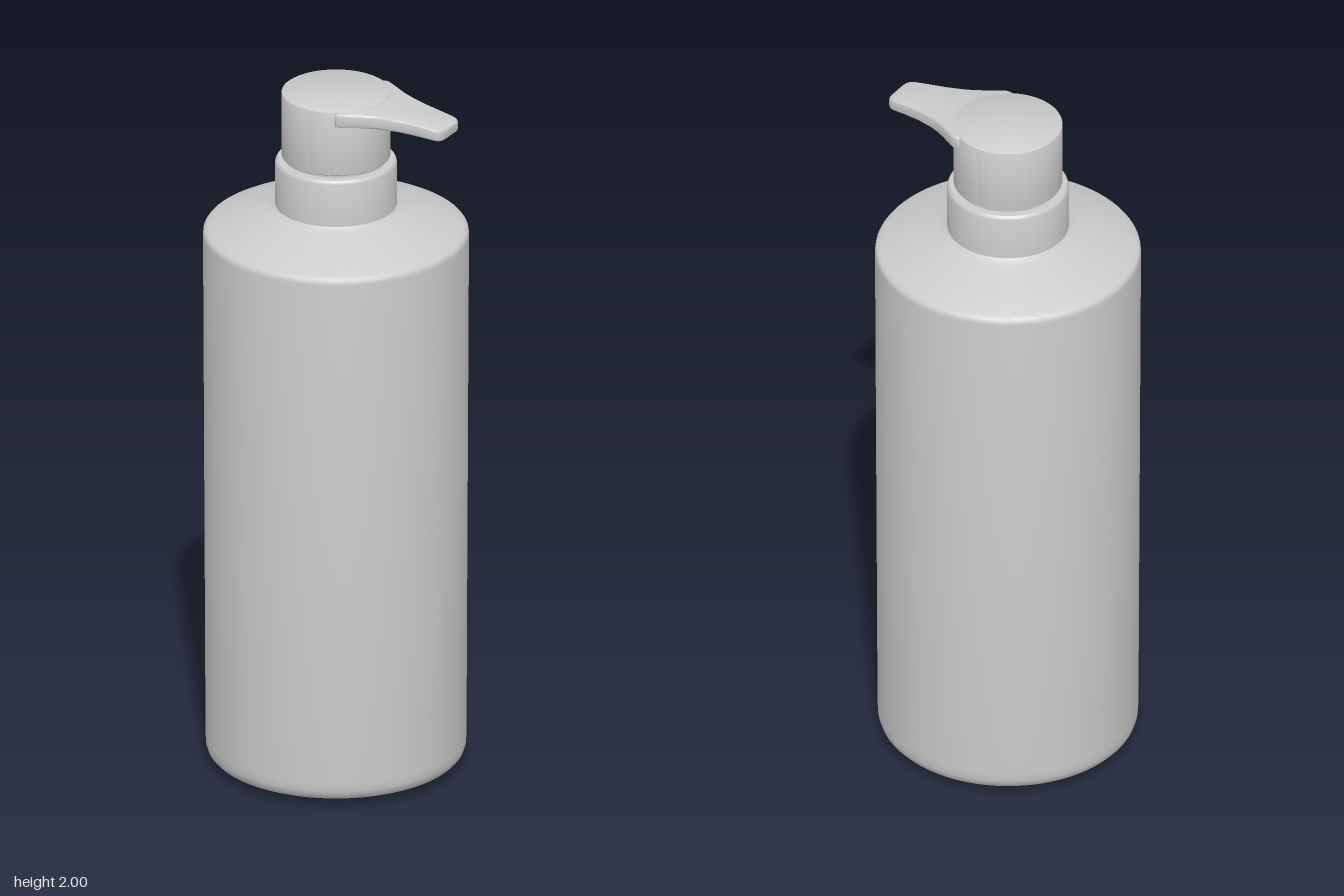
import * as THREE from 'three';
import { toCreasedNormals } from 'three/addons/utils/BufferGeometryUtils.js';

const material = new THREE.MeshStandardMaterial({ color: 0xcccccc });

function addMesh(group, name, geometry, crease = 0.6) {
  const mesh = new THREE.Mesh(toCreasedNormals(geometry, crease), material);
  mesh.name = name;
  group.add(mesh);
}

// Turned part from [radius, y] pairs, listed from the bottom up
function turned(profile) {
  return new THREE.LatheGeometry(profile.map(([r, y]) => new THREE.Vector2(r, y)), 96);
}

// Flat spout that narrows and droops towards its tip, lofted along x
function spoutGeometry() {
  // x, half width, top y, bottom y
  const stations = [
    [0.0, 0.125, 1.999, 1.957], [0.07, 0.130, 1.999, 1.957], [0.077, 0.136, 1.999, 1.957],
    [0.09, 0.136, 1.999, 1.957], [0.11, 0.126, 1.998, 1.957], [0.14, 0.109, 1.997, 1.957],
    [0.17, 0.094, 1.995, 1.956], [0.20, 0.083, 1.993, 1.955], [0.25, 0.070, 1.989, 1.952],
    [0.30, 0.062, 1.984, 1.948], [0.34, 0.057, 1.979, 1.944], [0.353, 0.053, 1.977, 1.943],
    [0.361, 0.045, 1.975, 1.944], [0.365, 0.034, 1.972, 1.947],
  ];
  const round = 0.007, steps = 3, n = 4 * (steps + 1);
  const positions = [], index = [];
  for (const [x, w, top, bottom] of stations) {
    // Rounded rectangle: corners +z top, -z top, -z bottom, +z bottom
    [[1, 1], [-1, 1], [-1, -1], [1, -1]].forEach(([sz, sy], corner) => {
      for (let k = 0; k <= steps; k++) {
        const a = (corner + k / steps) * Math.PI / 2;
        const z = sz * (w - round) + round * Math.cos(a);
        const y = (sy > 0 ? top - round : bottom + round) + round * Math.sin(a);
        positions.push(x, y, z);
      }
    });
  }
  for (let i = 0; i < stations.length - 1; i++) {
    for (let j = 0; j < n; j++) {
      const a = i * n + j, b = i * n + (j + 1) % n;
      index.push(a, a + n, b + n, a, b + n, b);
    }
  }
  // Close the tip
  const last = (stations.length - 1) * n;
  for (let j = 1; j < n - 1; j++) index.push(last, last + j + 1, last + j);
  const geometry = new THREE.BufferGeometry();
  geometry.setAttribute('position', new THREE.Float32BufferAttribute(positions, 3));
  geometry.setIndex(index);
  return geometry;
}

export function createModel() {
  const model = new THREE.Group();
  model.name = 'pumpBottle';

  // Body with a softly rounded foot and a sloping shoulder
  addMesh(model, 'bottle', turned([
    [0, 0], [0.12, 0.004], [0.22, 0.010], [0.29, 0.017], [0.325, 0.023], [0.342, 0.031],
    [0.352, 0.042], [0.357, 0.058], [0.358, 0.08], [0.365, 1.575], [0.364, 1.584],
    [0.359, 1.591], [0.350, 1.596], [0.26, 1.628], [0.19, 1.653], [0.175, 1.659], [0.168, 1.665], [0, 1.665],
  ]));

  // Collar around the neck
  addMesh(model, 'collar', turned([
    [0.167, 1.655], [0.167, 1.790], [0.165, 1.796], [0.160, 1.800], [0, 1.800],
  ]));

  // Narrow stem showing in the gap under the pump head
  addMesh(model, 'stem', turned([[0.140, 1.79], [0.140, 1.82]]));

  // Pump head
  addMesh(model, 'pumpHead', turned([
    [0, 1.808], [0.145, 1.808], [0.149, 1.811], [0.150, 1.816],
    [0.150, 1.995], [0.149, 1.998], [0.146, 2.0], [0, 2.0],
  ]));

  addMesh(model, 'spout', spoutGeometry(), 0.7);
  return model;
}
